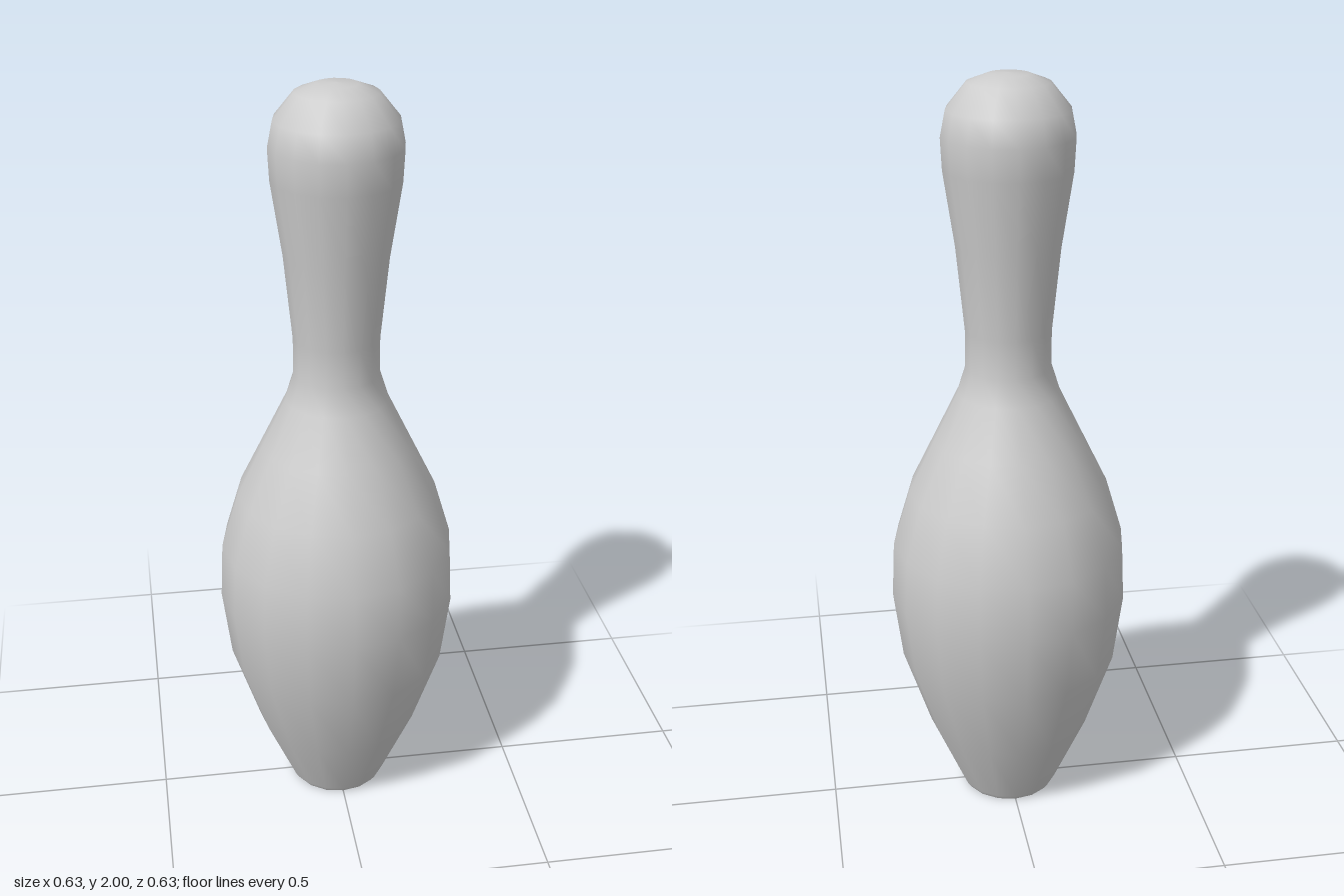
import * as THREE from 'three';

const SIDES = 16;

export function createModel() {
  const group = new THREE.Group();
  group.name = 'bowlingPin';
  const material = new THREE.MeshStandardMaterial({ color: 0xcccccc });

  // Turned body: foot, belly, neck and rounded head, from bottom to top
  const profile = [
    [0.125, 0], [0.135, 0.015], [0.22, 0.21], [0.293, 0.43], [0.317, 0.62],
    [0.31, 0.77], [0.265, 0.92], [0.197, 1.06], [0.134, 1.19], [0.112, 1.26],
    [0.112, 1.36], [0.134, 1.58], [0.163, 1.77], [0.167, 1.85], [0.154, 1.915],
    [0.103, 1.978], [0.052, 1.997], [0, 2],
  ].map(([r, y]) => new THREE.Vector2(r, y));
  const body = new THREE.Mesh(new THREE.LatheGeometry(profile, SIDES), material);
  body.name = 'pinBody';
  group.add(body);

  // Flat underside with a small centre hole
  const base = new THREE.Mesh(new THREE.RingGeometry(0.014, 0.125, SIDES), material);
  base.rotation.x = Math.PI / 2;
  base.name = 'pinBase';
  group.add(base);

  return group;
}
